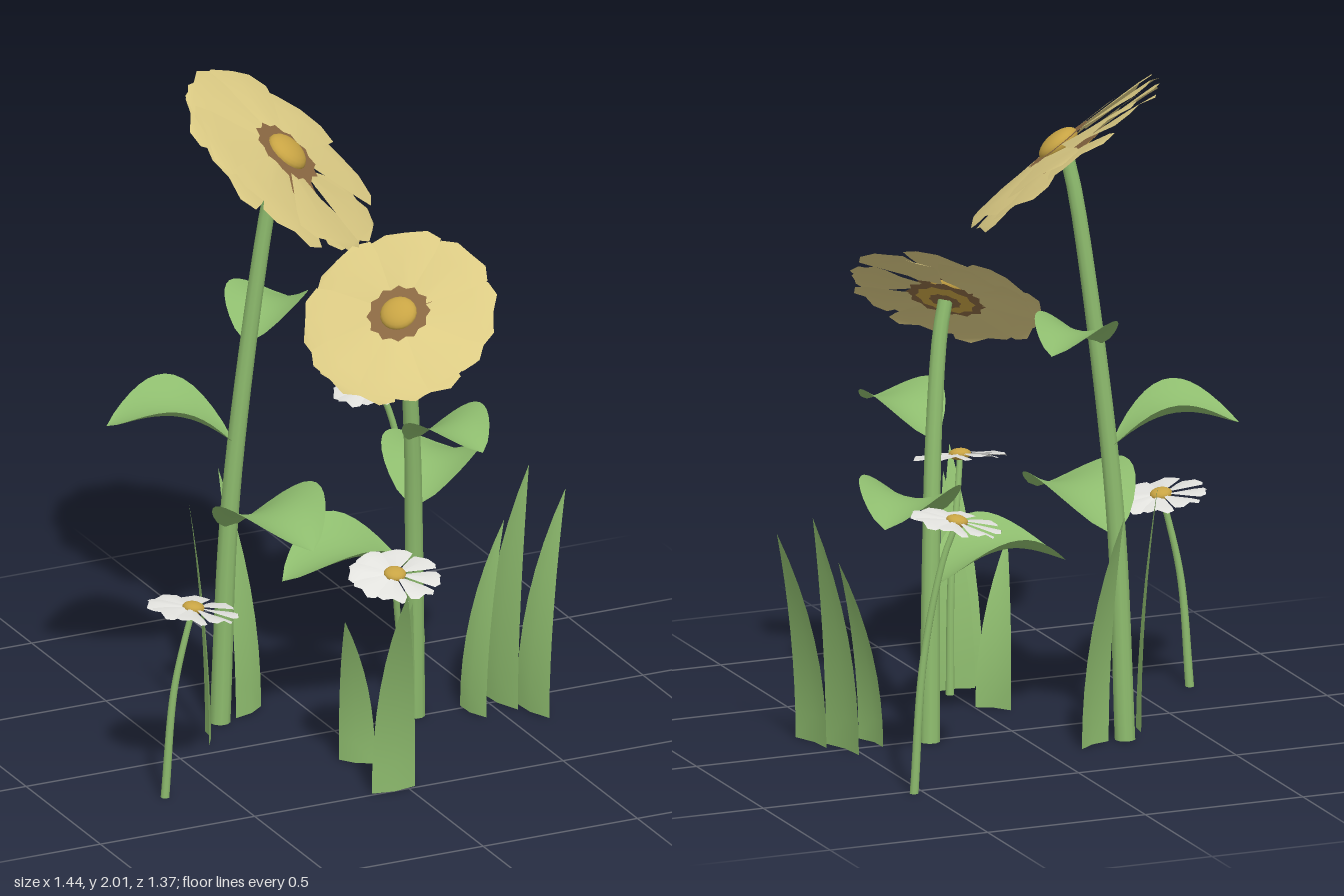
import * as THREE from 'three';

const mat = (name, color) => {
  const m = new THREE.MeshStandardMaterial({ color, side: THREE.DoubleSide });
  m.name = name;
  return m;
};
const V = (p) => new THREE.Vector3(...p);

// Grid surface from a rule f(u, v) -> [x, y, z]
function sheet(rows, cols, f) {
  const pos = [], idx = [];
  for (let i = 0; i <= rows; i++)
    for (let j = 0; j <= cols; j++) pos.push(...f(i / rows, j / cols, i, j));
  for (let i = 0; i < rows; i++)
    for (let j = 0; j < cols; j++) {
      const a = i * (cols + 1) + j, b = a + cols + 1;
      idx.push(a, a + 1, b, b, a + 1, b + 1);
    }
  const g = new THREE.BufferGeometry();
  g.setAttribute('position', new THREE.Float32BufferAttribute(pos, 3));
  g.setIndex(idx);
  g.computeVertexNormals();
  return g;
}

export function createModel() {
  const root = new THREE.Group();
  const green = mat('leaf green', 0x8ebc6e);
  const cream = mat('pale yellow', 0xdccb84);
  const white = mat('petal white', 0xe2e2de);
  const brown = mat('disc brown', 0x8a6842);
  const gold = mat('centre gold', 0xc8a444);

  const add = (parent, name, geo, material) => {
    const m = new THREE.Mesh(geo, material);
    m.name = name;
    parent.add(m);
    return m;
  };

  // Tapered stem along a curve, closed at the ground
  function stem(name, points, r0, r1) {
    const curve = new THREE.CatmullRomCurve3(points.map(V));
    const seg = 20, sides = 10;
    const g = new THREE.TubeGeometry(curve, seg, r0, sides);
    const p = g.attributes.position, v = new THREE.Vector3();
    for (let i = 0; i <= seg; i++) {
      const c = curve.getPointAt(i / seg), k = 1 + (r1 / r0 - 1) * (i / seg);
      for (let j = 0; j <= sides; j++) {
        const n = i * (sides + 1) + j;
        v.fromBufferAttribute(p, n).sub(c).multiplyScalar(k).add(c);
        p.setXYZ(n, v.x, i === 0 ? 0 : v.y, v.z);
      }
    }
    add(root, name, g, green);
    const cap = add(root, name + 'Base', new THREE.CircleGeometry(r0, sides), green);
    cap.rotation.x = Math.PI / 2;
    cap.position.set(...points[0]);
  }

  // Arched, cupped broad leaf from base to tip
  function leaf(base, tip) {
    const a = V(base), d = V(tip).sub(a), rise = d.y;
    d.y = 0;
    const len = d.length();
    d.normalize();
    const g = sheet(14, 8, (t, v) => {
      const s = v * 2 - 1;
      const w = 0.41 * len * Math.pow(Math.max(0, Math.sin(Math.PI * Math.pow(t, 0.9))), 0.75) * s;
      const y = rise * t + Math.sin(Math.PI * Math.pow(t, 0.9)) * len * (0.2 + 0.15 * s * s);
      return [a.x + d.x * len * t - d.z * w, a.y + y, a.z + d.z * len * t + d.x * w];
    });
    add(root, 'leaf', g, green);
  }

  // Tapering grass blade; side is the direction of its width
  function blade(base, tip, side, width) {
    const a = V(base), d = V(tip).sub(a), s = V(side).normalize();
    const g = sheet(8, 2, (t, v) => {
      const w = (v - 0.5) * width * (1 - Math.pow(t, 2.2));
      const lean = t * t, fold = 0.012 * (v === 0.5 ? 1 : 0) * (1 - t);
      return [
        a.x + d.x * lean + s.x * w - s.z * fold,
        d.y * t,
        a.z + d.z * lean + s.z * w + s.x * fold,
      ];
    });
    add(root, 'grassBlade', g, green);
  }

  // One blunt, notched petal in the flower's own plane (y is the face direction)
  const petalRows = [[0, 1], [0.7, 1], [0.93, 0.93], [1, 0.52]];
  function petal(r0, R, half, lift, skew, notch) {
    return sheet(3, 2, (u, v, i) => {
      const [k, f] = petalRows[i], s = v * 2 - 1;
      let r = r0 + (R - r0) * k;
      if (i === 3 && s === 0) r *= notch;
      const ang = s * half * f;
      return [Math.cos(ang) * r, lift + skew * s - 0.05 * r * k + (s ? 0 : 0.008 * k), Math.sin(ang) * r];
    });
  }
  function petalRing(parent, name, n, turn, material, ...shape) {
    const g = petal(...shape);
    for (let i = 0; i < n; i++) {
      add(parent, name, g, material).rotation.y = turn + (i / n) * Math.PI * 2;
    }
  }
  function head(name, centre, normal) {
    const h = new THREE.Group();
    h.name = name;
    h.position.set(...centre);
    h.quaternion.setFromUnitVectors(new THREE.Vector3(0, 1, 0), V(normal).normalize());
    root.add(h);
    return h;
  }
  function dome(parent, name, r, height, y) {
    const m = add(parent, name, new THREE.SphereGeometry(r, 20, 12), gold);
    m.scale.y = height / r;
    m.position.y = y;
  }
  // Scalloped flat disc
  function ruffle(parent, name, n, r, y, material) {
    const s = new THREE.Shape();
    for (let i = 0; i < n * 2; i++) {
      const a = (i / n) * Math.PI, q = i % 2 ? r * 0.88 : r;
      s[i ? 'lineTo' : 'moveTo'](Math.cos(a) * q, Math.sin(a) * q);
    }
    const m = add(parent, name, new THREE.ShapeGeometry(s), material);
    m.rotation.x = -Math.PI / 2;
    m.position.y = y;
  }

  // Large flowers: two petal layers, ruffled disc and domed centre
  function largeFlower(centre, normal, R) {
    const h = head('largeFlower', centre, normal), k = R / 0.35;
    petalRing(h, 'frontPetal', 8, 0.2, cream, 0.09 * k, R, 0.43, 0.014 * k, 0.008 * k, 0.965);
    petalRing(h, 'backPetal', 8, 0.6, cream, 0.13 * k, R * 0.97, 0.4, -0.014 * k, 0.008 * k, 0.965);
    ruffle(h, 'disc', 12, 0.115 * k, 0.022 * k, brown);
    dome(h, 'centre', 0.066 * k, 0.034 * k, 0.022 * k);
    ruffle(h, 'underRing', 12, 0.145 * k, -0.022 * k, brown);
    ruffle(h, 'underDisc', 10, 0.11 * k, -0.026 * k, gold);
    ruffle(h, 'underCentre', 10, 0.06 * k, -0.03 * k, brown);
  }
  largeFlower([-0.11, 1.78, -0.125], [0.52, 0.77, 0.38], 0.355);
  largeFlower([0.16, 1.315, 0.107], [-0.44, 0.78, 0.44], 0.292);
  stem('tallStem', [[-0.27, 0, -0.21], [-0.25, 0.65, -0.19], [-0.2, 1.18, -0.17], [-0.14, 1.65, -0.145], [-0.12, 1.76, -0.13]], 0.031, 0.022);
  stem('shortStem', [[0.265, 0, -0.01], [0.245, 0.6, 0.025], [0.225, 0.9, 0.055], [0.19, 1.2, 0.09], [0.168, 1.3, 0.1]], 0.031, 0.022);

  // Leaves on the tall stem, then on the short stem
  leaf([-0.235, 0.88, -0.185], [-0.59, 0.95, -0.31]);
  leaf([-0.2, 1.19, -0.175], [0.03, 1.23, -0.37]);
  leaf([-0.25, 0.61, -0.19], [-0.17, 0.67, 0.21]);
  leaf([0.25, 0.455, 0.015], [-0.17, 0.5, 0]);
  leaf([0.24, 0.67, 0.03], [0.5, 0.72, -0.23]);
  leaf([0.225, 0.89, 0.055], [0.31, 0.95, 0.355]);

  // Small white flowers on thin stems
  function smallFlower(centre, normal, points) {
    const h = head('smallFlower', centre, normal);
    petalRing(h, 'whitePetal', 8, 0.3, white, 0.01, 0.138, 0.4, 0.004, 0.004, 0.95);
    dome(h, 'centre', 0.033, 0.018, 0.006);
    stem('thinStem', [...points, centre], 0.013, 0.009);
  }
  smallFlower([0.41, 0.815, -0.555], [-0.18, 0.97, -0.05], [[0.53, 0, -0.52], [0.505, 0.4, -0.53], [0.45, 0.7, -0.545]]);
  smallFlower([-0.587, 0.582, 0.267], [0.16, 0.98, -0.03], [[-0.67, 0, 0.25], [-0.645, 0.33, 0.258], [-0.605, 0.52, 0.265]]);
  smallFlower([-0.06, 0.692, 0.53], [-0.03, 0.97, 0.21], [[0.01, 0, 0.44], [-0.005, 0.35, 0.465], [-0.045, 0.6, 0.51]]);

  // Grass: front tuft, back pair, right tuft
  blade([-0.045, 0, 0.49], [-0.09, 0.69, 0.68], [1, 0, 0], 0.14);
  blade([-0.03, 0, 0.48], [-0.04, 0.63, 0.61], [1, 0, 0.1], 0.11);
  blade([-0.045, 0, 0.245], [-0.13, 0.49, 0.34], [0.085, 0, 0.075], 0.11);
  blade([-0.36, 0, -0.11], [-0.405, 0.74, -0.14], [0.35, 0, -1], 0.11);
  blade([-0.163, 0, -0.24], [-0.19, 0.72, -0.39], [1, 0, -0.5], 0.12);
  blade([0.43, 0, 0.04], [0.55, 0.57, 0], [0.25, 0, 1], 0.12);
  blade([0.535, 0, 0.005], [0.64, 0.72, -0.02], [0.25, 0, 1], 0.16);
  blade([0.59, 0, 0.11], [0.72, 0.66, 0.06], [0.25, 0, 1], 0.15);
  return root;
}
